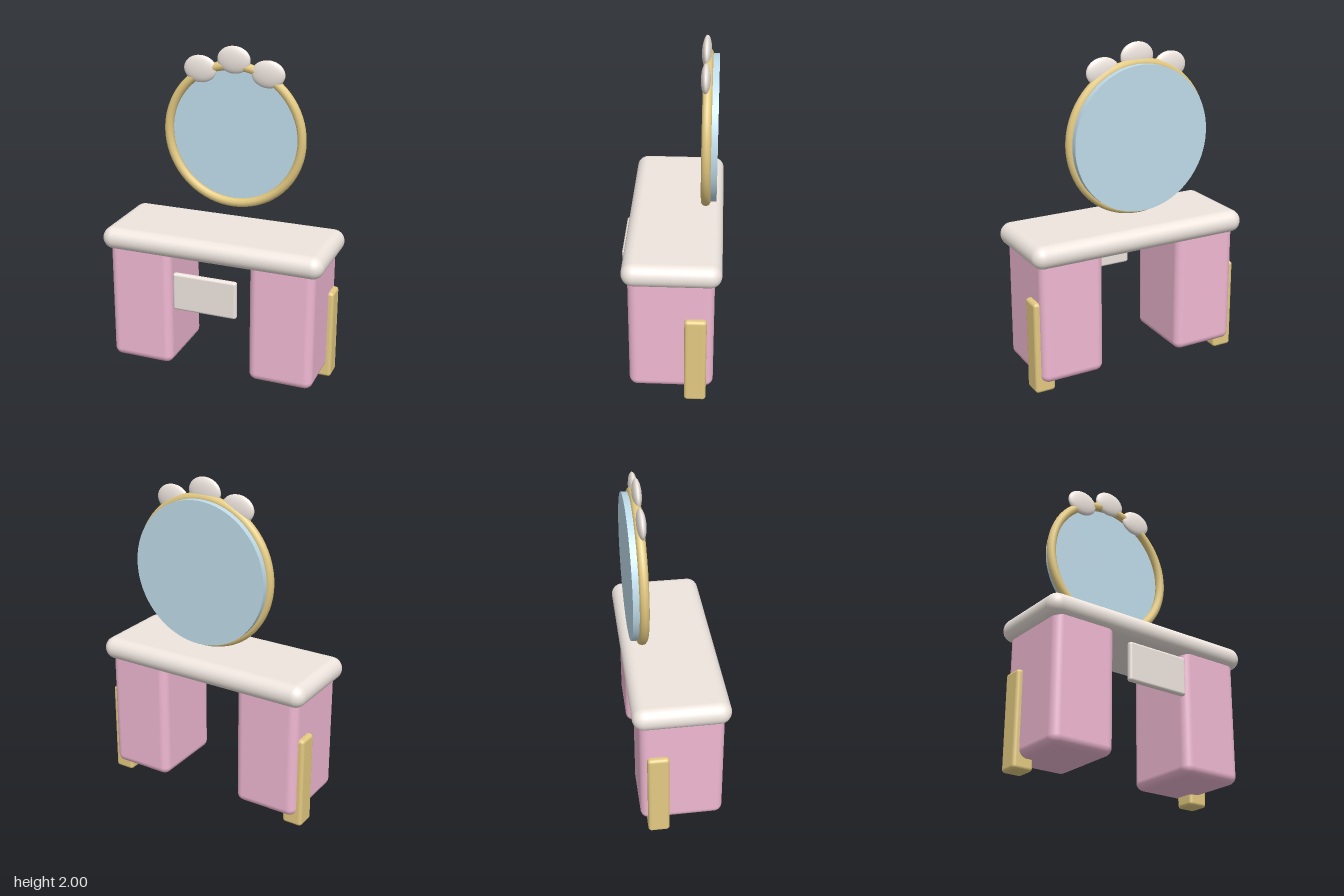
import * as THREE from 'three';
import { RoundedBoxGeometry } from 'three/addons/geometries/RoundedBoxGeometry.js';

const mat = (color) => new THREE.MeshStandardMaterial({ color });
const cream = mat(0xeee5de);
const pink = mat(0xf0b8d2);
const gold = mat(0xe3c981);
const glass = mat(0xbfdcea);

export function createModel() {
  const model = new THREE.Group();

  const add = (name, geometry, material, x, y, z) => {
    const mesh = new THREE.Mesh(geometry, material);
    mesh.name = name;
    mesh.position.set(x, y, z);
    model.add(mesh);
    return mesh;
  };

  // Rounded box given by its minimum and maximum corners
  const box = (name, material, min, max, radius) => {
    const size = max.map((v, i) => v - min[i]);
    const mid = max.map((v, i) => (v + min[i]) / 2);
    return add(name, new RoundedBoxGeometry(...size, 5, radius), material, ...mid);
  };

  // Table top with fully rounded rim
  box('tableTop', cream, [-0.695, 0.786, -0.3], [0.695, 0.925, 0.265], 0.069);

  // Pedestals and outer back legs, one pair per side
  for (const [side, s] of [['left', 1], ['right', -1]]) {
    const pedestal = box(side + 'Pedestal', pink, [0.25, 0.065, -0.26], [0.648, 0.865, 0.232], 0.05);
    const leg = box(side + 'Leg', gold, [0.555, 0, -0.22], [0.68, 0.57, -0.092], 0.02);
    pedestal.position.x *= s;
    leg.position.x *= s;
  }

  // Drawer front between the pedestals
  box('drawerFront', cream, [-0.2, 0.49, 0.262], [0.2, 0.725, 0.3], 0.016);

  // Round mirror: glass disc behind a ring frame
  const mirrorY = 1.457;
  const disc = new THREE.CylinderGeometry(0.425, 0.425, 0.045, 64).rotateX(Math.PI / 2);
  add('mirrorGlass', disc, glass, 0, mirrorY, -0.235);
  add('mirrorFrame', new THREE.TorusGeometry(0.425, 0.028, 10, 72), gold, 0, mirrorY, -0.195);

  // Three flattened ornaments along the crown of the frame
  for (const [name, x, y] of [['rightOrnament', -0.213, 1.849], ['centreOrnament', 0, 1.918], ['leftOrnament', 0.213, 1.849]]) {
    add(name, new THREE.SphereGeometry(1, 32, 20), cream, x, y, -0.184).scale.set(0.104, 0.082, 0.027);
  }

  return model;
}
